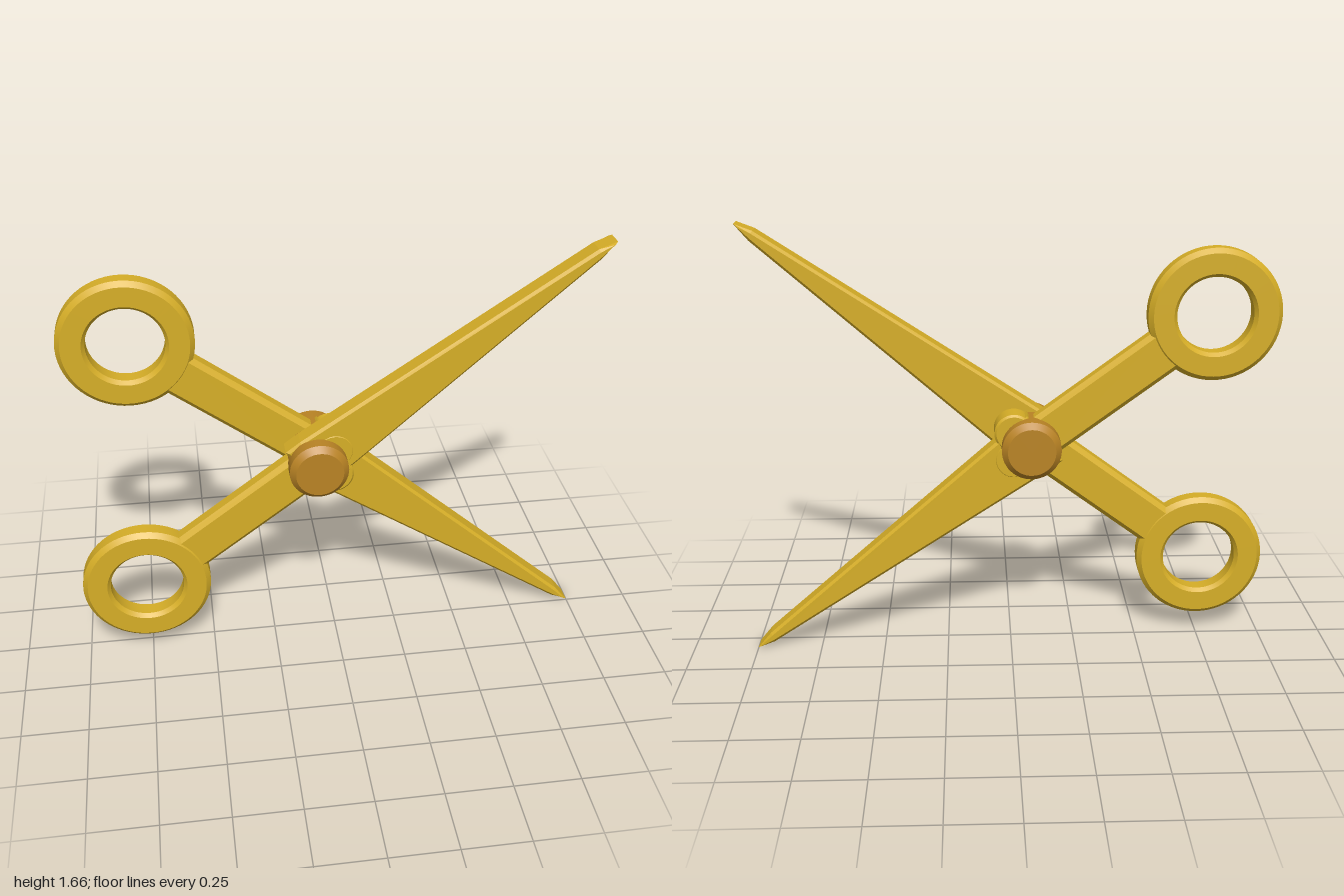
import * as THREE from 'three';
import { toCreasedNormals } from 'three/addons/utils/BufferGeometryUtils.js';

const gold = new THREE.MeshStandardMaterial({ color: 0xd6ae27 });
const bronze = new THREE.MeshStandardMaterial({ color: 0xb98324 });

function part(name, geometry, material = gold) {
  const mesh = new THREE.Mesh(geometry, material);
  mesh.name = name;
  return mesh;
}

// Flat plate with chamfered edges, from z = z0 to z = z1
function plate(points, z0, z1, bevel) {
  const shape = new THREE.Shape(points.map(([x, y]) => new THREE.Vector2(x, y)));
  return new THREE.ExtrudeGeometry(shape, {
    depth: z1 - z0 - 2 * bevel, bevelEnabled: true, bevelSegments: 1,
    bevelSize: bevel, bevelThickness: bevel, bevelOffset: -bevel,
  }).translate(0, 0, z0 + bevel);
}

// Profile of [radius, z] points turned about the z axis
function turned(profile, segments = 64) {
  const points = profile.map(([r, z]) => new THREE.Vector2(r, z));
  return toCreasedNormals(new THREE.LatheGeometry(points, segments).rotateX(Math.PI / 2), 0.5);
}

// One half of the scissors, with the pivot at the origin
function createHalf(name) {
  const half = new THREE.Group();
  half.name = name;

  // Tapered blade
  const blade = part('blade', plate([
    [-0.06, -0.104], [0.137, -0.092], [1.28, -0.01], [1.358, 0.008],
    [1.29, 0.028], [0.009, 0.119], [-0.06, 0.119],
  ], 0, 0.086, 0.01));
  blade.rotation.z = 0.651;

  // Straight shank between pivot and ring
  const shank = part('shank', plate([
    [-0.65, -0.084], [0.02, -0.084], [0.02, 0.084], [-0.65, 0.084],
  ], 0.005, 0.085, 0.018));
  shank.rotation.z = 0.637;

  // Finger ring with chamfered rims
  const ring = part('fingerRing', turned([
    [0.142, 0.018], [0.155, 0.002], [0.23, 0.002], [0.248, 0.02],
    [0.248, 0.072], [0.23, 0.09], [0.155, 0.09], [0.142, 0.074], [0.142, 0.018],
  ]));
  ring.position.set(-0.675, -0.5, 0);

  // Small round boss beside the pivot
  const boss = part('boss', turned([
    [0, -0.088], [0.066, -0.088], [0.074, -0.08], [0.074, 0.08], [0.066, 0.088], [0, 0.088],
  ], 40));
  boss.position.set(0.065, 0.052, 0);

  half.add(blade, shank, ring, boss);
  return half;
}

export function createModel() {
  const model = new THREE.Group();
  model.name = 'scissors';

  const front = createHalf('frontHalf');
  const back = createHalf('backHalf');
  back.rotation.x = Math.PI;

  // Pivot pin through both halves
  const pivot = part('pivotPin', turned([
    [0, -0.155], [0.09, -0.155], [0.112, -0.133], [0.112, 0.133], [0.09, 0.155], [0, 0.155],
  ], 48), bronze);

  const body = new THREE.Group();
  body.name = 'body';
  body.add(front, back, pivot);
  body.position.set(-0.075, 0.83, 0);
  model.add(body);
  return model;
}
